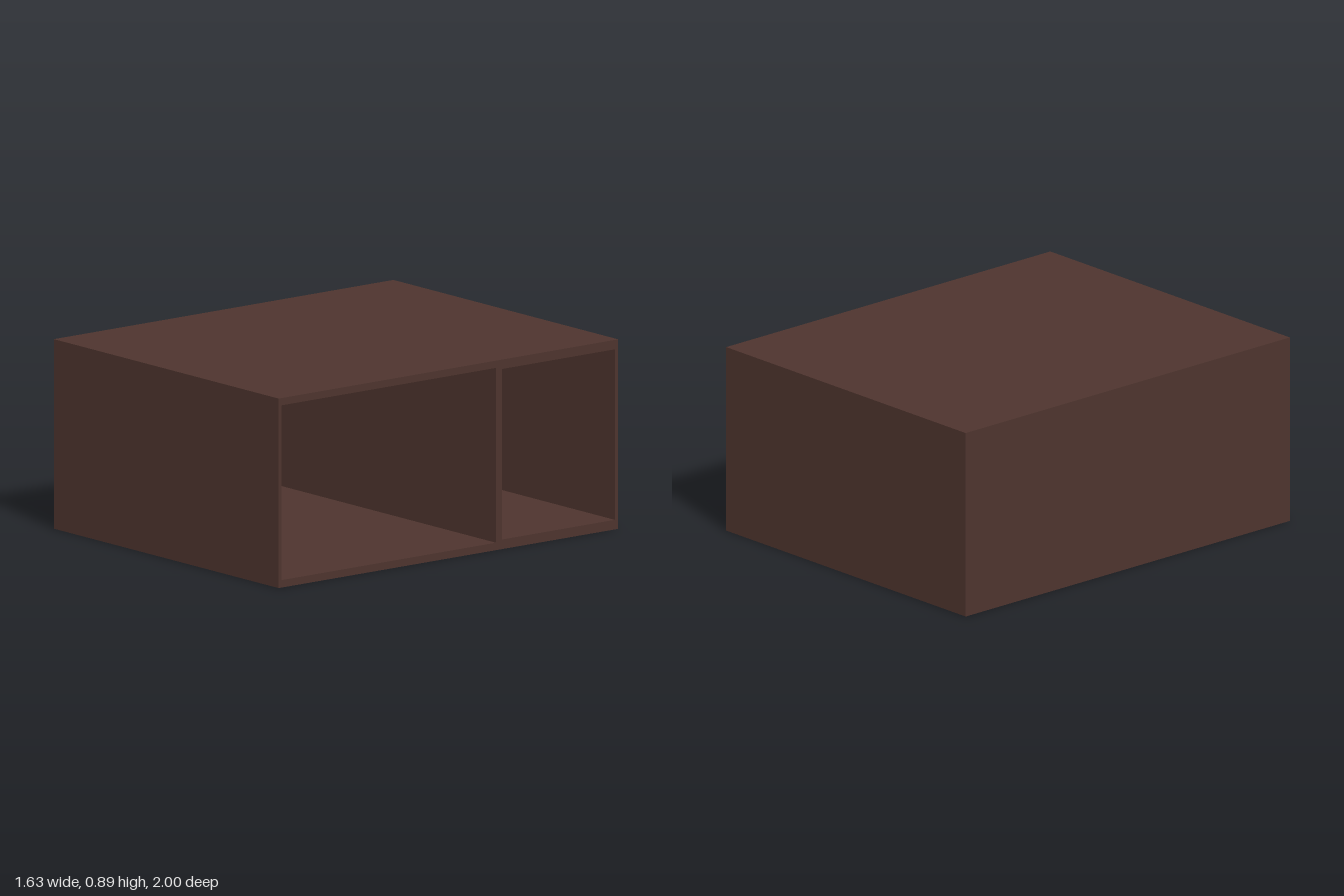
import * as THREE from 'three';

const HALF_W = 0.815, HEIGHT = 0.887, HALF_D = 1, BACK = 0.02;

// Rectangle traced in the side plane (shape x = -z, shape y = y)
function rect(PathType, z0, z1, y0, y1) {
  const p = new PathType();
  p.moveTo(-z0, y0);
  p.lineTo(-z1, y0);
  p.lineTo(-z1, y1);
  p.lineTo(-z0, y1);
  p.closePath();
  return p;
}

export function createModel() {
  const group = new THREE.Group();
  group.name = 'cabinet';
  const wood = new THREE.MeshStandardMaterial({ color: 0x4e342e });
  wood.name = 'dark brown wood';

  // Shell: outer walls and divider around two open compartments
  const profile = rect(THREE.Shape, HALF_D, -HALF_D, 0, HEIGHT);
  profile.holes.push(
    rect(THREE.Path, 0.983, -0.28, 0.035, 0.853), // large compartment
    rect(THREE.Path, -0.315, -0.98, 0.045, 0.843) // small compartment
  );
  const shellGeo = new THREE.ExtrudeGeometry(profile, { depth: 2 * HALF_W - BACK, bevelEnabled: false });
  shellGeo.rotateY(Math.PI / 2);
  shellGeo.translate(-HALF_W + BACK, 0, 0);
  const shell = new THREE.Mesh(shellGeo, wood);
  shell.name = 'shell';
  group.add(shell);

  // Closed panel opposite the openings
  const panel = new THREE.Mesh(new THREE.BoxGeometry(BACK, HEIGHT, 2 * HALF_D), wood);
  panel.position.set(-HALF_W + BACK / 2, HEIGHT / 2, 0);
  panel.name = 'closedPanel';
  group.add(panel);

  return group;
}
